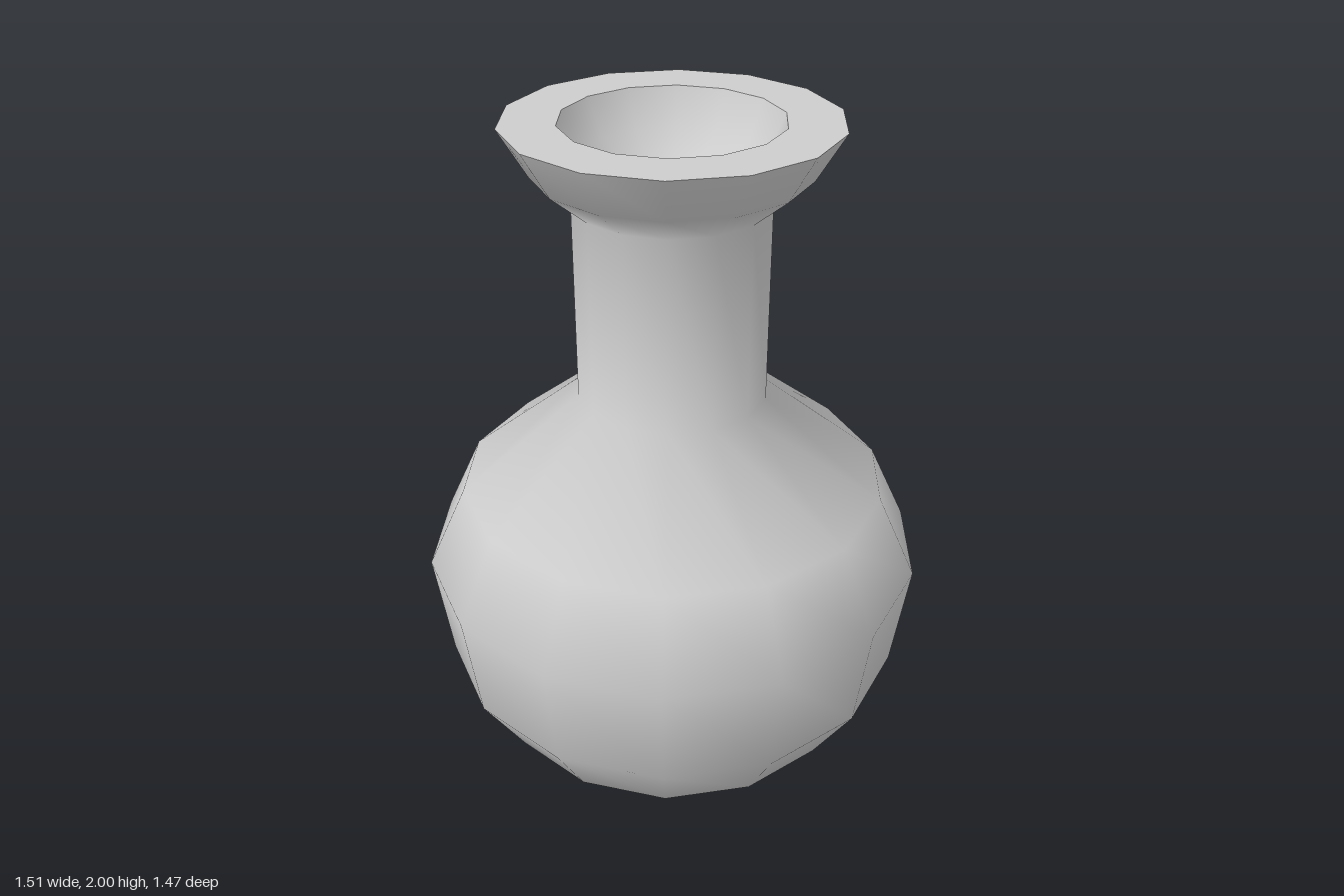
import * as THREE from 'three';

const SIDES = 14;

export function createModel() {
  const group = new THREE.Group();
  group.name = 'vase';
  const clay = new THREE.MeshStandardMaterial({ color: 0xcccccc });
  clay.name = 'light grey';

  // Each section is turned separately so its ends stay crisp
  function turn(name, profile) {
    const points = profile.map(([r, y]) => new THREE.Vector2(r, y));
    const mesh = new THREE.Mesh(new THREE.LatheGeometry(points, SIDES, Math.PI / 2), clay);
    mesh.name = name;
    group.add(mesh);
  }

  // Base, round belly, neck and flared lip in one smooth skin
  turn('body', [
    [0, 0], [0.44, 0], [0.58, 0.1], [0.71, 0.315], [0.755, 0.655], [0.637, 0.905],
    [0.28, 1.195], [0.28, 1.775], [0.388, 1.865], [0.468, 2],
  ]);
  // Flat ring on top of the lip
  turn('rim', [[0.468, 2], [0.31, 2]]);
  // Shallow hollow inside the lip
  turn('mouthWall', [[0.31, 2], [0.262, 1.893], [0.175, 1.83]]);
  turn('mouthFloor', [[0.175, 1.83], [0, 1.83]]);

  return group;
}
